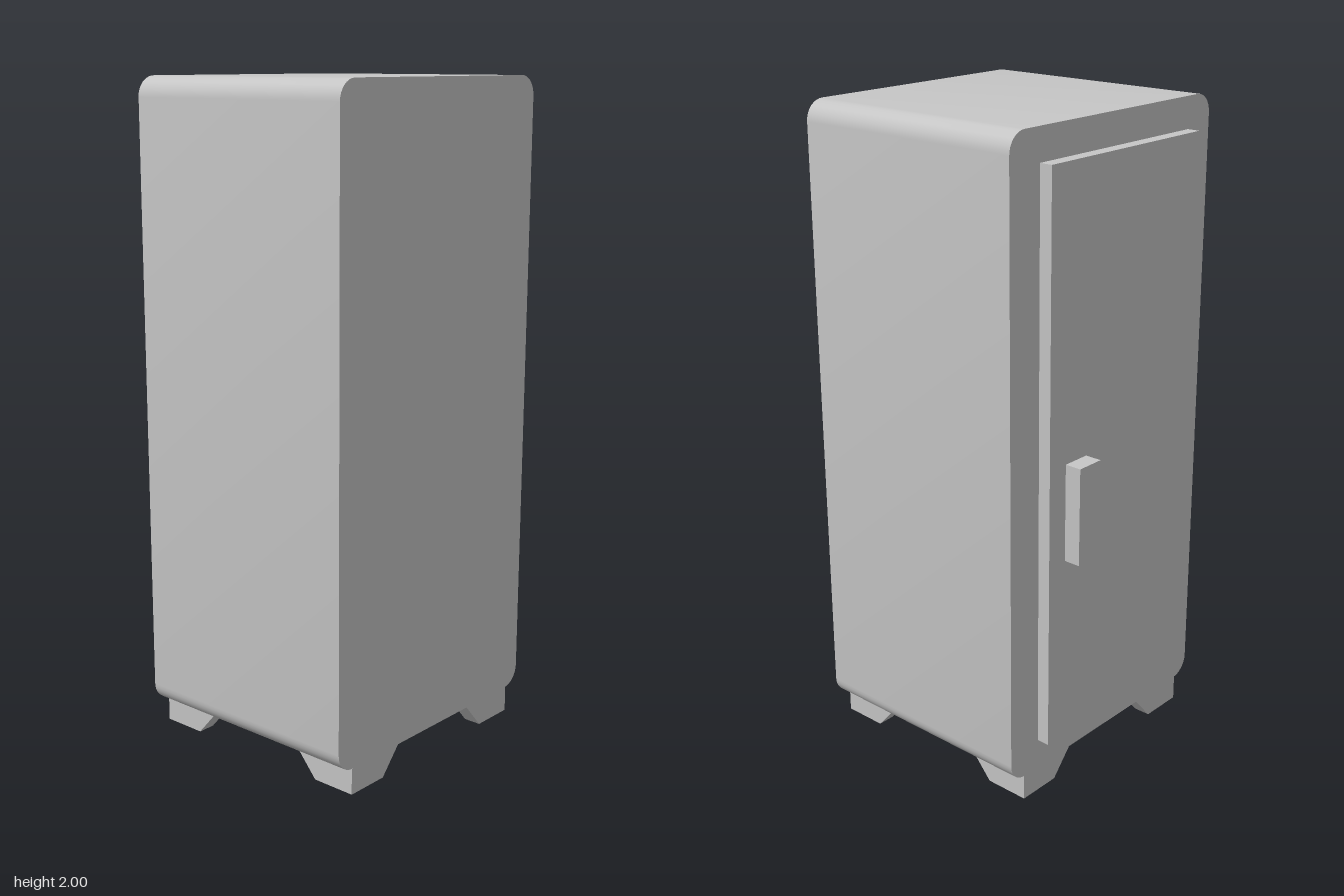
import * as THREE from 'three';
import { toCreasedNormals } from 'three/addons/utils/BufferGeometryUtils.js';

export function createModel() {
  const model = new THREE.Group();
  model.name = 'safe';
  const grey = new THREE.MeshStandardMaterial({ color: 0xc6c6c6 });
  grey.name = 'grey';

  const add = (name, geometry, parent = model) => {
    const mesh = new THREE.Mesh(geometry, grey);
    mesh.name = name;
    parent.add(mesh);
    return mesh;
  };
  // Box given by its limits on each axis
  const box = (name, x0, x1, y0, y1, z0, z1) =>
    add(name, new THREE.BoxGeometry(x1 - x0, y1 - y0, z1 - z0))
      .position.set((x0 + x1) / 2, (y0 + y1) / 2, (z0 + z1) / 2);
  const extrude = (points, depth) => new THREE.ExtrudeGeometry(
    new THREE.Shape(points.map(([x, y]) => new THREE.Vector2(x, y))),
    { depth, bevelEnabled: false });

  const front = 0.427, back = -0.335, floor = 0.08;

  // Cabinet: rounded rectangle pulled from back to front
  const w = 0.437, r = 0.06, top = 2;
  const outline = new THREE.Shape();
  outline.absarc(w - r, top - r, r, 0, Math.PI / 2);
  outline.absarc(-w + r, top - r, r, Math.PI / 2, Math.PI);
  outline.absarc(-w + r, floor + r, r, Math.PI, Math.PI * 1.5);
  outline.absarc(w - r, floor + r, r, Math.PI * 1.5, Math.PI * 2);
  const cabinet = new THREE.ExtrudeGeometry(outline,
    { depth: front - back, bevelEnabled: false, curveSegments: 4 });
  cabinet.translate(0, 0, back);
  add('cabinet', toCreasedNormals(cabinet, 0.6));

  // Door and handle on the back face
  box('door', -0.334, 0.318, 0.175, 1.905, -0.375, back);
  box('handle', 0.159, 0.249, 0.757, 1.055, -0.427, -0.375);

  // Wedge-shaped hinges beside the door
  for (const y of [0.485, 1.215]) {
    const hinge = extrude([[-0.357, 0.335], [-0.334, 0.335], [-0.334, 0.358], [-0.344, 0.358]], 0.27);
    hinge.rotateX(-Math.PI / 2); // profile y becomes -z, depth becomes y
    add('hinge', hinge).position.y = y;
  }

  // L-shaped corner feet with sloping ends
  const t = 0.055;
  const leg = start => extrude(
    [[-start, 0], [-start, floor], [-0.21, floor], [-0.14, 0]], t).translate(0, 0, -t);
  const corners = [[0.38, front], [0.38, back], [-0.38, back], [-0.38, front]];
  corners.forEach(([x, z], i) => {
    const foot = new THREE.Group();
    foot.name = 'foot';
    foot.position.set(x, 0, z);
    foot.rotation.y = i * Math.PI / 2;
    add('footBracket', leg(0), foot);
    add('footBracket', leg(t).rotateY(-Math.PI / 2).translate(-t, 0, 0), foot);
    model.add(foot);
  });

  return model;
}
